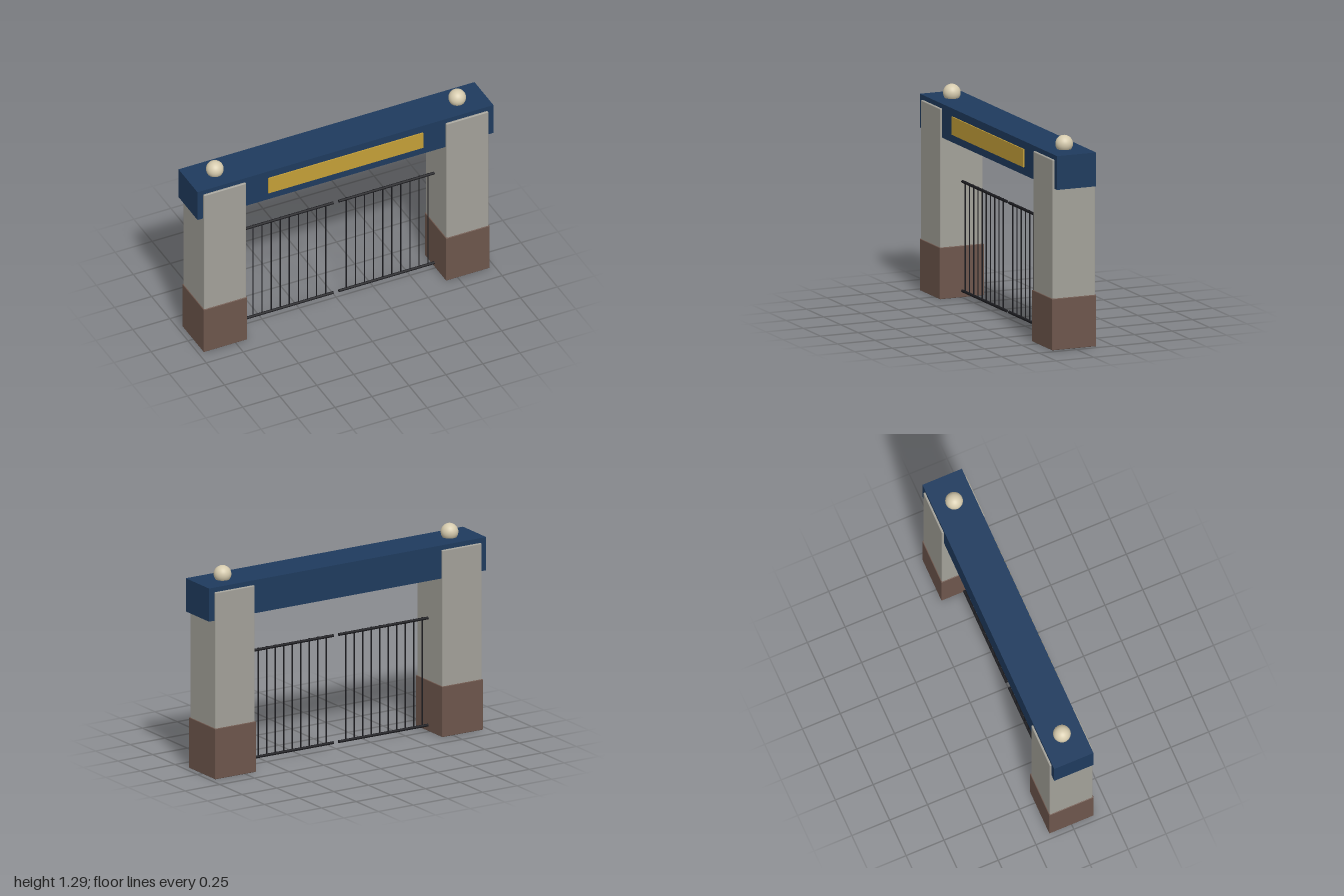
import * as THREE from 'three';
import { RoundedBoxGeometry } from 'three/addons/geometries/RoundedBoxGeometry.js';

function material(name, color) {
  const m = new THREE.MeshStandardMaterial({ color });
  m.name = name;
  return m;
}

export function createModel() {
  const stone = material('grey stone', 0xa3a199);
  const brick = material('brown brick', 0x6d564c);
  const blue = material('navy blue', 0x1f3b5e);
  const gold = material('gold', 0xc49f38);
  const cream = material('cream', 0xd6cbae);
  const iron = material('black iron', 0x1c1c20);

  const gateway = new THREE.Group();
  gateway.name = 'gateway';

  function add(parent, name, geometry, mat, x, y, z) {
    const mesh = new THREE.Mesh(geometry, mat);
    mesh.name = name;
    mesh.position.set(x, y, z);
    parent.add(mesh);
    return mesh;
  }

  // Overhead beam with a sign plate on its front
  add(gateway, 'beam', new THREE.BoxGeometry(2, 0.21, 0.26), blue, 0, 1.105, 0);
  add(gateway, 'signPlate', new THREE.BoxGeometry(1.045, 0.112, 0.009), gold, 0, 1.105, 0.133);

  const shaftGeometry = new RoundedBoxGeometry(0.285, 1.17, 0.285, 2, 0.006);
  const plinthGeometry = new RoundedBoxGeometry(0.295, 0.32, 0.295, 2, 0.004);
  const ballGeometry = new THREE.SphereGeometry(0.054, 32, 20);
  const railGeometry = new THREE.CylinderGeometry(0.009, 0.009, 0.645, 12);
  railGeometry.rotateZ(Math.PI / 2);
  const barGeometry = new THREE.CylinderGeometry(0.004, 0.004, 0.695, 8);

  for (const side of [-1, 1]) {
    const label = side > 0 ? 'left' : 'right';

    // Pillar: stone shaft, brick plinth and ball finial
    const pillar = new THREE.Group();
    pillar.name = label + 'Pillar';
    pillar.position.x = side * 0.819;
    add(pillar, 'shaft', shaftGeometry, stone, 0, 0.595, 0);
    add(pillar, 'plinth', plinthGeometry, brick, 0, 0.16, 0);
    add(pillar, 'ballFinial', ballGeometry, cream, 0, 1.241, 0);
    gateway.add(pillar);

    // Gate leaf: two rails and ten upright bars
    const leaf = new THREE.Group();
    leaf.name = label + 'GateLeaf';
    add(leaf, 'bottomRail', railGeometry, iron, side * 0.341, 0.042, 0);
    add(leaf, 'topRail', railGeometry, iron, side * 0.341, 0.72, 0);
    for (let i = 0; i < 10; i++) {
      add(leaf, 'bar', barGeometry, iron, side * (0.07 + i * 0.0614), 0.383, 0);
    }
    gateway.add(leaf);
  }

  return gateway;
}
